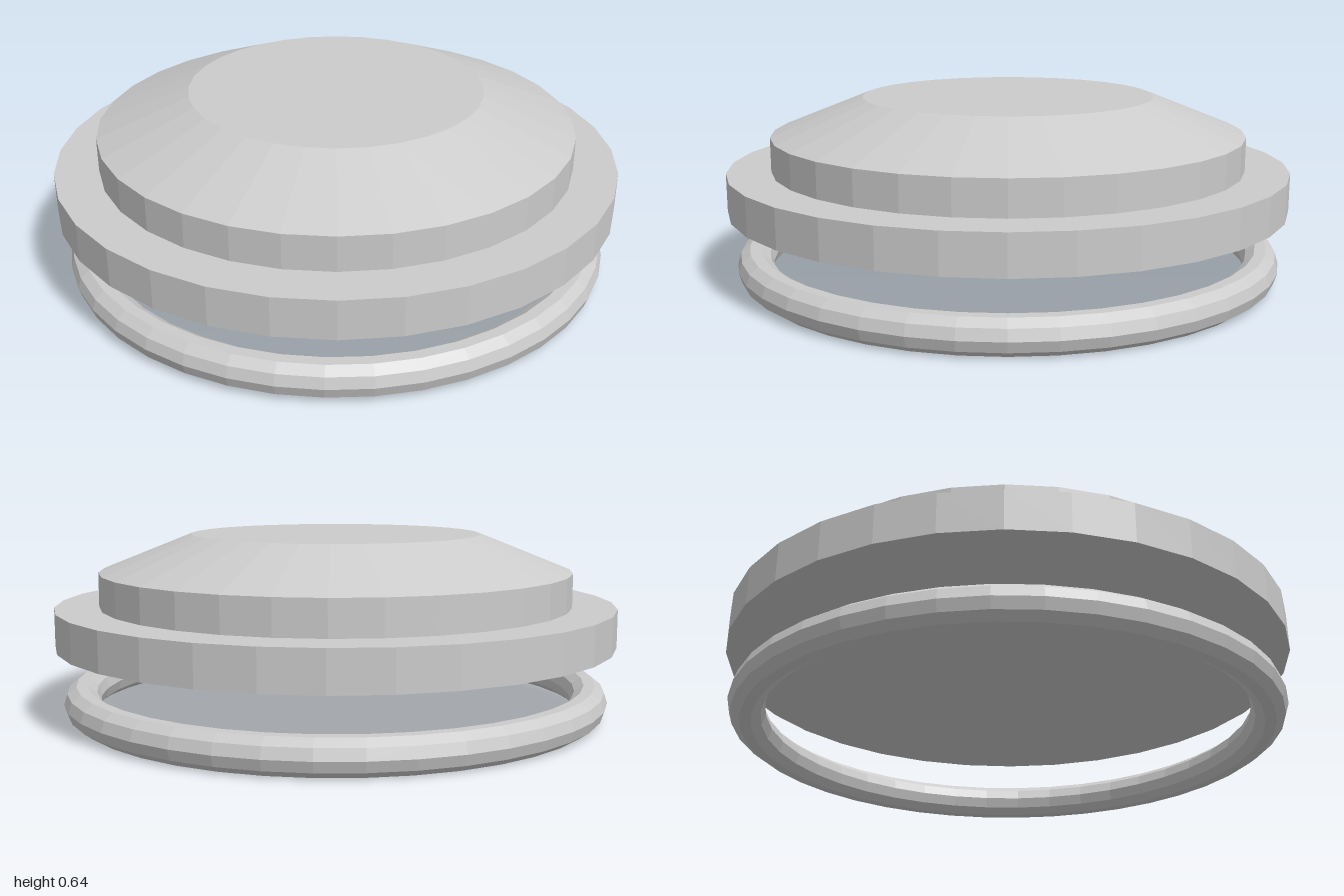
import * as THREE from 'three';

const SIDES = 32;

export function createModel() {
  const group = new THREE.Group();
  const material = new THREE.MeshStandardMaterial({ color: 0xcccccc, flatShading: true });

  const add = (name, geometry, y) => {
    const mesh = new THREE.Mesh(geometry, material);
    mesh.name = name;
    mesh.position.y = y;
    group.add(mesh);
  };

  // Cap: wide flange, collar and sloped crown as one closed lathe profile
  const profile = [
    [0, 0], [1, 0], [1, 0.135], [0.845, 0.135],
    [0.845, 0.255], [0.52, 0.385], [0, 0.385],
  ].map(([r, y]) => new THREE.Vector2(r, y));
  add('cap', new THREE.LatheGeometry(profile, SIDES), 0.257);

  // Separate sealing ring below the cap, ten-sided in section
  const ring = new THREE.TorusGeometry(0.912, 0.063, 10, 40);
  ring.rotateX(Math.PI / 2);
  add('sealingRing', ring, 0.06);

  return group;
}
